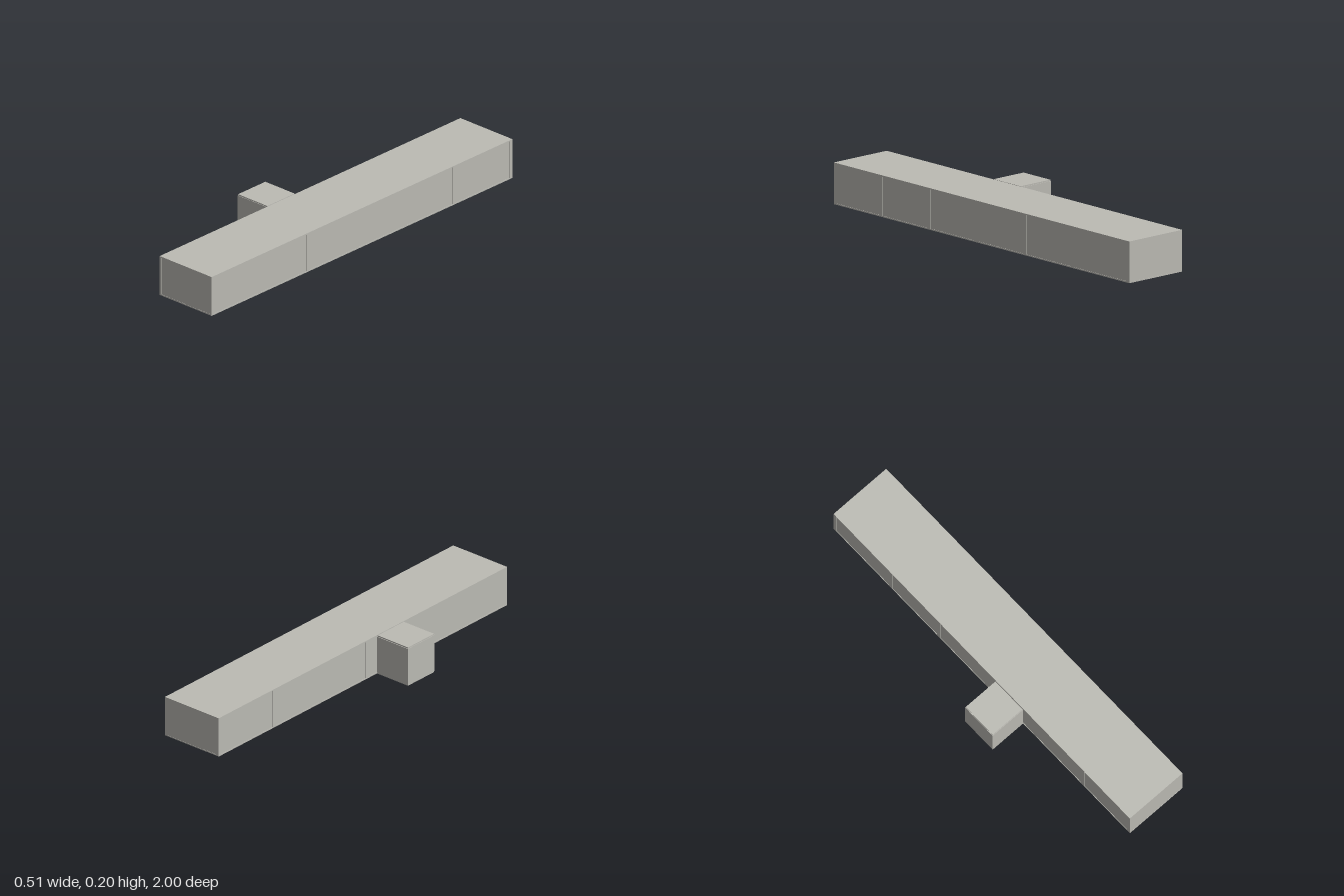
import * as THREE from 'three';

export function createModel() {
  const model = new THREE.Group();
  model.name = 'building';

  const concrete = new THREE.MeshStandardMaterial({ color: 0xbcbbb4 });
  concrete.name = 'warm grey concrete';

  // Box given by its limits on each axis
  function box(name, [x0, x1], [y0, y1], [z0, z1], parent) {
    const mesh = new THREE.Mesh(new THREE.BoxGeometry(x1 - x0, y1 - y0, z1 - z0), concrete);
    mesh.name = name;
    mesh.position.set((x0 + x1) / 2, (y0 + y1) / 2, (z0 + z1) / 2);
    parent.add(mesh);
  }

  const height = 0.196, slab = 0.006;
  const wallY = [slab, height - slab];

  // Long main hall: floor and roof slabs around slightly inset walls
  const hall = new THREE.Group();
  hall.name = 'mainHall';
  model.add(hall);
  const west = -0.068, east = 0.257, inset = 0.002;
  box('hallFloor', [west, east], [0, slab], [-1, 1], hall);
  box('hallWalls', [west + inset, east - inset], wallY, [-0.999, 0.999], hall);
  box('hallRoof', [west, east], [height - slab, height], [-1, 1], hall);

  // Pilasters along both long sides, with one at every corner
  const pilasterZ = [0.99, 0.681, 0.359, 0.032, -0.29, -0.614, -0.99];
  for (const z of pilasterZ) {
    const half = 0.01;
    box('leftPilaster', [east - 0.009, east], wallY, [z - half, z + half], hall);
    box('rightPilaster', [west, west + 0.01], wallY, [z - half, z + half], hall);
  }

  // Small square annex beside the hall, its walls just proud of its slabs
  const annex = new THREE.Group();
  annex.name = 'annex';
  model.add(annex);
  box('annexFloor', [-0.255, -0.072], [0, slab], [0.098, 0.279], annex);
  box('annexWalls', [-0.257, -0.07], wallY, [0.095, 0.281], annex);
  box('annexRoof', [-0.255, -0.072], [height - slab, height], [0.098, 0.279], annex);

  return model;
}
